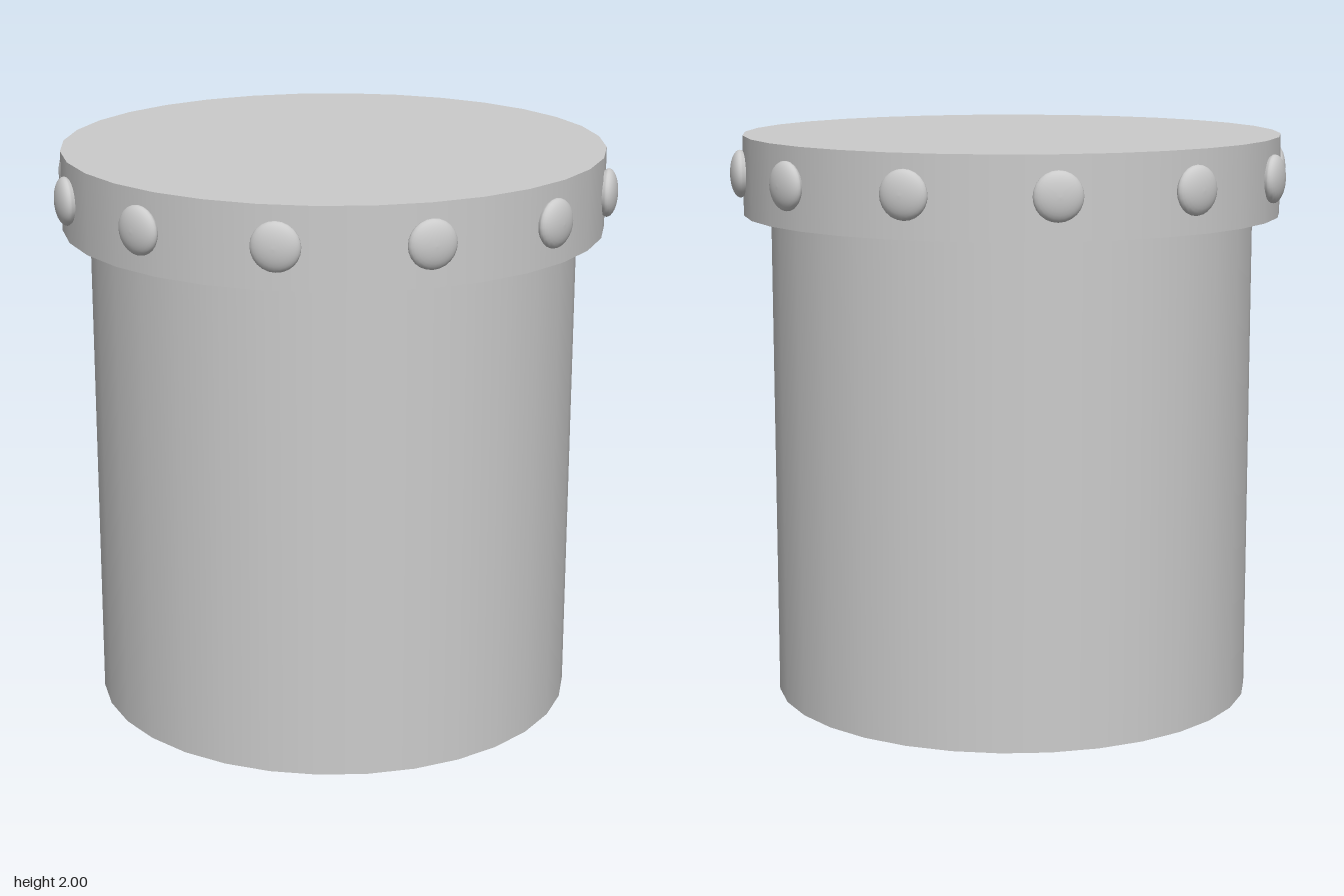
import * as THREE from 'three';

export function createModel() {
  const model = new THREE.Group();
  const material = new THREE.MeshStandardMaterial({ color: 0xcccccc });

  const add = (name, geometry, parent = model) => {
    const mesh = new THREE.Mesh(geometry, material);
    mesh.name = name;
    parent.add(mesh);
    return mesh;
  };

  // Upright drum with a closed base
  const lidBottom = 1.722;
  add('body', new THREE.CylinderGeometry(0.85, 0.85, lidBottom, 32)).position.y = lidBottom / 2;

  // Wider flat band on top
  const lidHeight = 2 - lidBottom;
  add('lid', new THREE.CylinderGeometry(0.945, 0.945, lidHeight, 32)).position.y = lidBottom + lidHeight / 2;

  // Domed stud: profile runs outwards from the band, then lies along +z
  const profile = [[0.06, -0.03], [0.073, -0.008], [0.082, 0.004], [0.083, 0.01]];
  for (let i = 1; i <= 8; i++) {
    const a = (i / 8) * Math.PI / 2;
    profile.push([0.083 * Math.cos(a), 0.01 + 0.035 * Math.sin(a)]);
  }
  profile[profile.length - 1][0] = 0;
  const studGeometry = new THREE.LatheGeometry(profile.map(([r, y]) => new THREE.Vector2(r, y)), 24);
  studGeometry.rotateX(Math.PI / 2);
  studGeometry.translate(0, 0, 0.945);

  // Ring of twelve studs
  const studs = new THREE.Group();
  studs.name = 'studs';
  studs.position.y = 1.868;
  model.add(studs);
  for (let i = 0; i < 12; i++) {
    add('stud', studGeometry, studs).rotation.y = (i * Math.PI) / 6;
  }

  return model;
}
